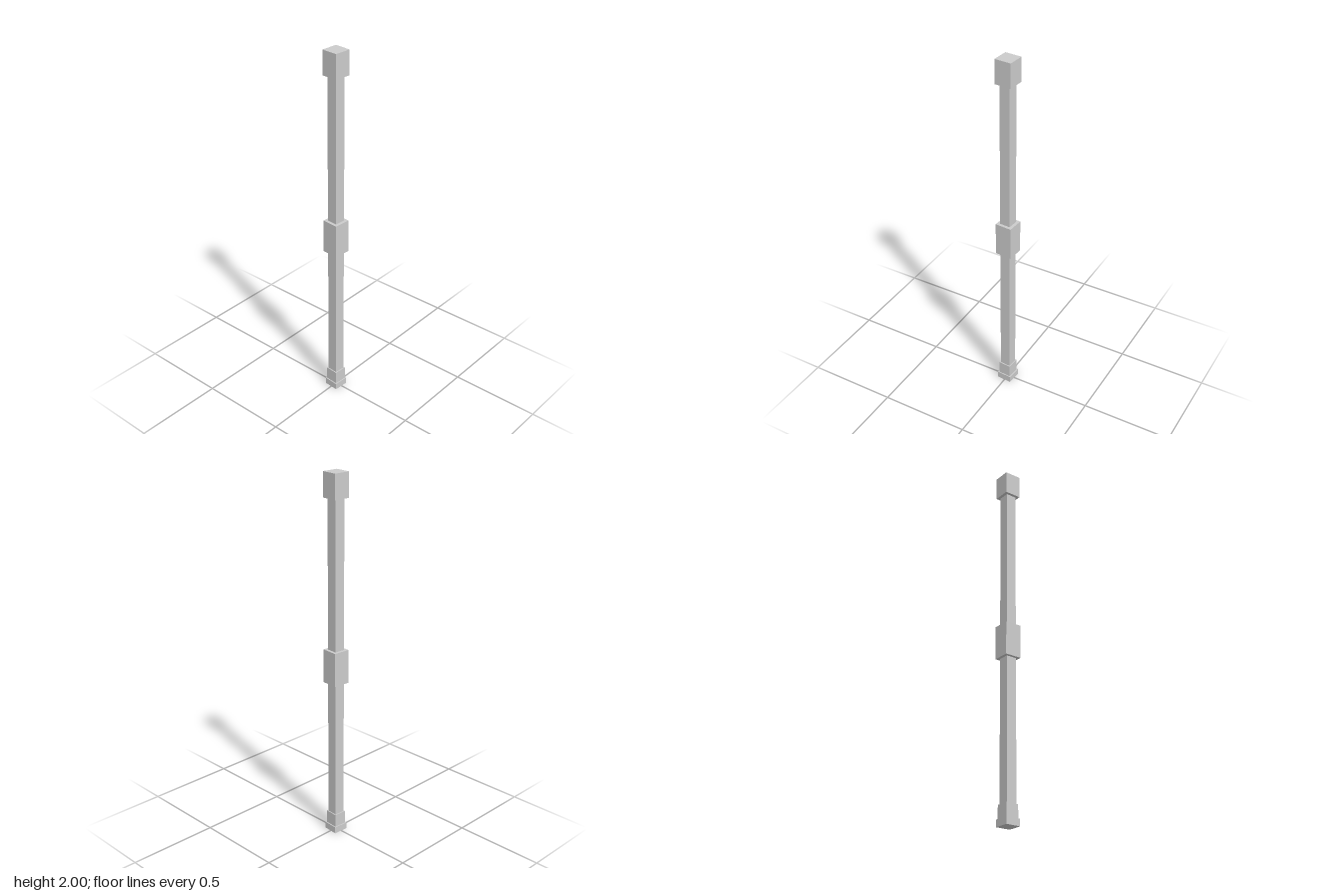
import * as THREE from 'three';

export function createModel() {
  const model = new THREE.Group();
  model.name = 'post';
  const material = new THREE.MeshStandardMaterial({ color: 0xcccccc, flatShading: true });

  // Square block of a given width between two heights
  const addBlock = (name, width, bottom, top) => {
    const mesh = new THREE.Mesh(new THREE.BoxGeometry(width, top - bottom, width), material);
    mesh.name = name;
    mesh.position.y = (bottom + top) / 2;
    model.add(mesh);
  };

  addBlock('foot', 0.083, 0, 0.037);
  addBlock('plinth', 0.071, 0.037, 0.11);
  addBlock('lowerShaft', 0.059, 0.11, 0.885);
  addBlock('middleCollar', 0.0925, 0.885, 1.07);
  addBlock('upperShaft', 0.059, 1.07, 1.87);
  addBlock('topCap', 0.0915, 1.87, 2);

  // The whole post is turned slightly about its axis
  model.rotation.y = -0.07;
  return model;
}
